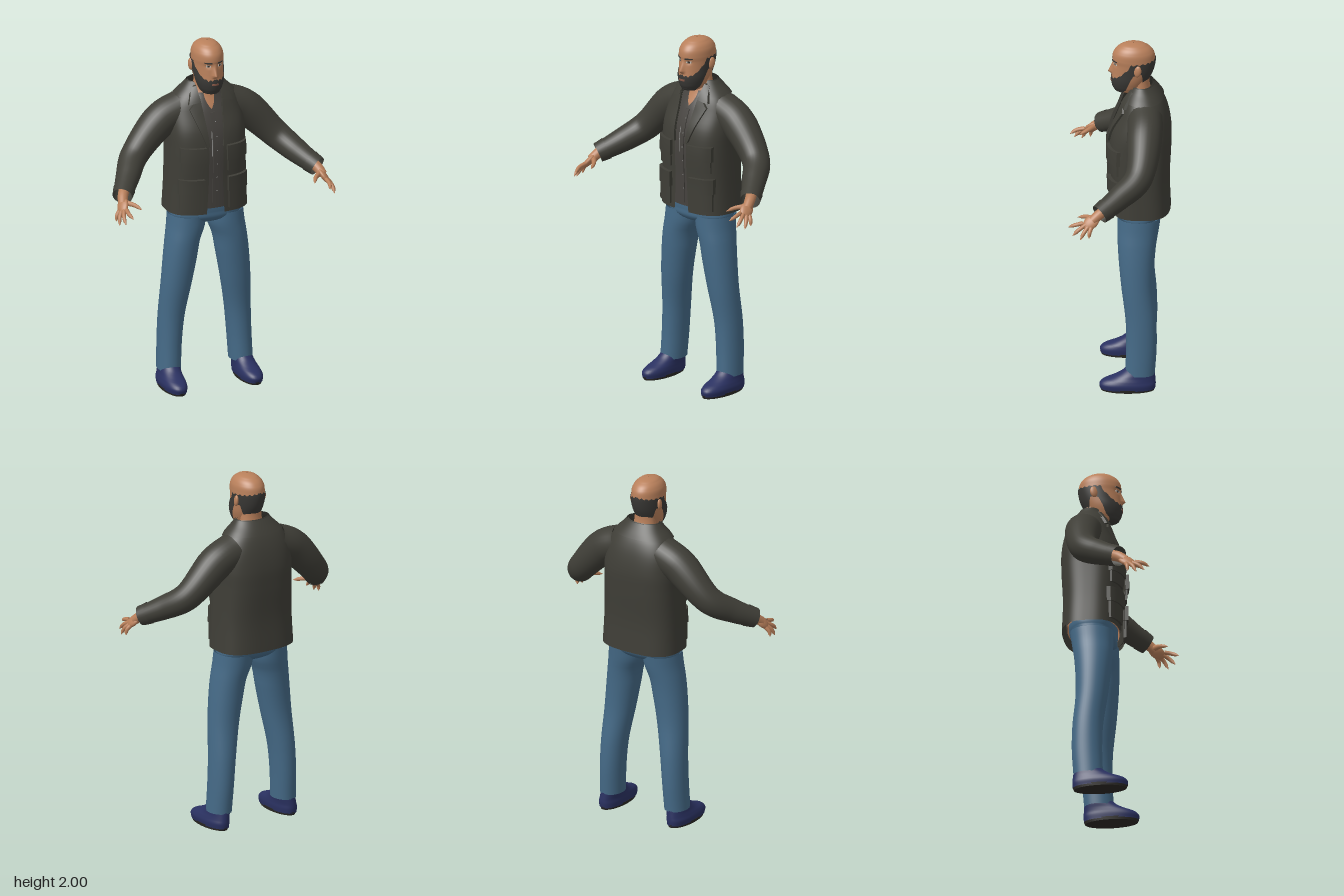
import * as THREE from 'three';
import { ParametricGeometry } from 'three/addons/geometries/ParametricGeometry.js';

const mat = (name, color) => new THREE.MeshStandardMaterial({ name, color, side: THREE.DoubleSide });
const V = (x, y, z) => new THREE.Vector3(x, y, z);
const curveOf = keys => {
  const it = new THREE.LinearInterpolant(keys.map(k => k[0]), keys.map(k => k[1]), 1);
  return a => it.evaluate(a)[0];
};

// A body surface from horizontal sections: [y, centreX, halfWidth, zFront, zBack, squareness]
function body(rows, side = 1, bump = () => 0) {
  const it = new THREE.CubicInterpolant(rows.map(r => r[0]), rows.flatMap(r => r.slice(1)), 5);
  const at = y => {
    const [cx, rx, zf, zb, n] = it.evaluate(y);
    return { cx: cx * side, rx: Math.max(rx, 0.001), mid: (zf + zb) / 2, rz: (zf - zb) / 2, n };
  };
  const pow = (c, e) => Math.sign(c) * Math.abs(c) ** e;
  return {
    at, lo: rows[0][0], hi: rows[rows.length - 1][0],
    // angle 0 is the front, growing towards +x
    point(a, y, off, p) {
      const r = at(y), c = Math.cos(a);
      const x = r.cx + (r.rx + off) * pow(Math.sin(a), 2 / r.n);
      const z = r.mid + (r.rz + off) * pow(c, 2 / r.n);
      return p.set(x, y, z + (c > 0 ? bump(x, y) : 0));
    },
    frontZ(x, y) {
      const r = at(y), k = Math.min(1, Math.abs(x - r.cx) / r.rx);
      return r.mid + r.rz * (1 - k ** r.n) ** (1 / r.n) + bump(x, y);
    },
  };
}

// Sheet wrapped round a body, with optional front gap and edge heights by angle from the front
function sheet(b, { gap = () => 0, lo = () => b.lo, hi = () => b.hi, off = 0, nu = 64, nv = 32 } = {}) {
  return new ParametricGeometry((u, v, p) => {
    const a = Math.PI * 2 * Math.min(u, 1 - u);
    const k = 0.2 * v + 0.8 * (0.5 - 0.5 * Math.cos(Math.PI * v));
    const y = lo(a) + (hi(a) - lo(a)) * k, g = gap(y);
    b.point(g + (Math.PI * 2 - 2 * g) * u, y, off, p);
  }, nu, nv);
}

// Plate laid on the front of a body; corners run bottom inner, bottom outer, top outer, top inner
function plate(b, corners, thick, side = 1) {
  const order = side > 0 ? [0, 1, 2, 3] : [1, 0, 3, 2];
  const [p, q, r, s] = order.map(i => [corners[i][0] * side, corners[i][1]]);
  const geo = new THREE.BoxGeometry(1, 1, 1, 10, 8, 1), pos = geo.attributes.position;
  const mix = THREE.MathUtils.lerp;
  for (let i = 0; i < pos.count; i++) {
    const u = pos.getX(i) + 0.5, v = pos.getY(i) + 0.5;
    const x = mix(mix(p[0], q[0], u), mix(s[0], r[0], u), v);
    const y = mix(mix(p[1], q[1], u), mix(s[1], r[1], u), v);
    pos.setXYZ(i, x, y, b.frontZ(x, y) + (pos.getZ(i) > 0 ? thick : -0.004));
  }
  geo.computeVertexNormals();
  return geo;
}
const rect = (x0, x1, y0, y1) => [[x0, y0], [x1, y0], [x1, y1], [x0, y1]];

// Tube with a radius that changes along its path
function limb(points, radii, seg = 24, sides = 20) {
  const curve = new THREE.CatmullRomCurve3(points);
  const radius = curveOf(radii.map((r, i) => [i / (radii.length - 1), r]));
  const geo = new THREE.TubeGeometry(curve, seg, 1, sides), pos = geo.attributes.position, v = V();
  for (let i = 0; i < pos.count; i++) {
    const t = Math.floor(i / (sides + 1)) / seg, c = curve.getPointAt(t);
    v.fromBufferAttribute(pos, i).sub(c).multiplyScalar(radius(t)).add(c);
    pos.setXYZ(i, v.x, v.y, v.z);
  }
  return geo;
}

export function createModel() {
  const model = new THREE.Group();
  const skin = mat('skin', 0xb9805b), cloth = mat('jacket cloth', 0x3f3e37), denim = mat('denim', 0x456a87);
  const hair = mat('hair', 0x3a3936), shirtCloth = mat('shirt cloth', 0x46433f), shoe = mat('shoe', 0x2a3161);
  const sole = mat('sole', 0x2b2925), lip = mat('lips', 0x8a5a49), white = mat('eye white', 0xc9c4bb);
  const metal = mat('metal', 0x8c8c8a);
  const add = (name, geo, m) => {
    const mesh = new THREE.Mesh(geo, m);
    mesh.name = name;
    model.add(mesh);
    return mesh;
  };

  // Head with nose and eye sockets
  const face = (x, y) => {
    const nose = y > 1.826 ? Math.max(0, (1.892 - y) / 0.066) : Math.max(0, 1 - (1.826 - y) / 0.014);
    const socket = Math.exp(-(((Math.abs(x) - 0.033) / 0.015) ** 2) - ((y - 1.88) / 0.012) ** 2);
    return 0.024 * nose * Math.exp(-((x / 0.013) ** 2)) - 0.006 * socket;
  };
  const head = body([
    [1.70, 0, 0.004, -0.04, -0.06, 2], [1.71, 0, 0.038, 0.012, -0.1, 2], [1.73, 0, 0.056, 0.034, -0.12, 2],
    [1.76, 0, 0.069, 0.045, -0.138, 2], [1.79, 0, 0.077, 0.048, -0.155, 2], [1.83, 0, 0.081, 0.044, -0.175, 2],
    [1.88, 0, 0.084, 0.04, -0.188, 2], [1.91, 0, 0.085, 0.044, -0.19, 2], [1.95, 0, 0.079, 0.034, -0.181, 2],
    [1.98, 0, 0.058, 0.004, -0.15, 2], [1.995, 0, 0.031, -0.032, -0.112, 2], [2.0, 0, 0.003, -0.068, -0.076, 2],
  ], 1, face);
  add('head', sheet(head, { nu: 128, nv: 72 }), skin);

  // Beard, sideburns and the fringe of hair round the back
  const hairTop = curveOf([[0, 1.806], [0.5, 1.8], [0.9, 1.818], [1.25, 1.86], [1.45, 1.898], [2.2, 1.902], [Math.PI, 1.914]]);
  const hairLow = curveOf([[0, 1.702], [1, 1.703], [1.45, 1.74], [1.6, 1.83], [2, 1.84], [2.3, 1.785], [Math.PI, 1.775]]);
  add('beardAndHair', sheet(head, {
    lo: hairLow, hi: a => hairTop(a) + 0.004 * Math.sin(a * 23), off: 0.004, nu: 128, nv: 20,
  }), hair);
  add('mouth', plate(head, rect(-0.02, 0.02, 1.772, 1.783), 0.006), lip);

  // Neck and chest, with the shirt over them
  const chest = body([
    [1.05, 0, 0.205, 0.03, -0.25, 2.2], [1.2, 0, 0.2, 0.035, -0.25, 2.2], [1.4, 0, 0.2, 0.042, -0.255, 2.2],
    [1.5, 0, 0.195, 0.03, -0.25, 2.2], [1.6, 0, 0.16, -0.005, -0.23, 2.2], [1.66, 0, 0.11, -0.035, -0.2, 2.1],
    [1.7, 0, 0.076, -0.052, -0.175, 2], [1.76, 0, 0.061, -0.06, -0.16, 2], [1.83, 0, 0.058, -0.06, -0.16, 2],
  ]);
  add('neckAndChest', sheet(chest), skin);
  add('shirt', sheet(chest, { hi: a => Math.min(1.7, 1.615 + 0.22 * a), off: 0.006, nu: 96 }), shirtCloth);
  add('shirtPlacket', plate(chest, rect(-0.014, 0.014, 1.07, 1.6), 0.011), shirtCloth);
  add('zip', plate(chest, rect(-0.02, -0.016, 1.36, 1.5), 0.009), metal);
  for (let i = 0; i < 6; i++)
    add('button', plate(chest, rect(0.006, 0.011, 1.15 + i * 0.08, 1.155 + i * 0.08), 0.0135), metal);

  // Open jacket and collar
  const jacket = body([
    [1.025, 0, 0.232, 0.052, -0.276, 2.8], [1.2, 0, 0.224, 0.054, -0.27, 2.8], [1.4, 0, 0.219, 0.06, -0.279, 2.8],
    [1.5, 0, 0.219, 0.046, -0.279, 2.7], [1.6, 0, 0.207, 0.008, -0.262, 2.5], [1.66, 0, 0.183, -0.012, -0.241, 2.3],
    [1.7, 0, 0.148, -0.03, -0.219, 2.2], [1.735, 0, 0.112, -0.05, -0.195, 2.1], [1.76, 0, 0.092, -0.062, -0.176, 2],
  ]);
  const opening = curveOf([[1.02, 0.052], [1.2, 0.042], [1.45, 0.042], [1.7, 0.065], [1.76, 0.072]]);
  const gap = y => {
    const r = jacket.at(y);
    return Math.asin(Math.min(0.95, opening(y) / r.rx) ** (r.n / 2));
  };
  add('jacketBody', sheet(jacket, { gap, nu: 80, nv: 40 }), cloth);
  add('collar', sheet(jacket, { gap: () => 0.8, lo: () => 1.685, hi: () => 1.762, off: 0.011, nv: 10 }), cloth);

  // Jeans: seat
  const hips = body([
    [0.94, 0, 0.02, -0.06, -0.13, 2], [0.955, 0, 0.1, -0.015, -0.18, 2.1], [0.98, 0, 0.19, 0.012, -0.215, 2.3],
    [1.02, 0, 0.208, 0.018, -0.235, 2.4], [1.1, 0, 0.2, 0.022, -0.24, 2.4],
  ]);
  add('jeansSeat', sheet(hips), denim);

  for (const s of [1, -1]) {
    const P = (x, y, z) => V(x * s, y, z);
    const pre = s > 0 ? 'left' : 'right';

    // Face details
    add(pre + 'Eye', plate(head, rect(0.021, 0.045, 1.876, 1.886), 0.003, s), white);
    add(pre + 'Iris', plate(head, rect(0.028, 0.038, 1.876, 1.886), 0.0045, s), hair);
    add(pre + 'Brow', plate(head, [[0.016, 1.896], [0.053, 1.898], [0.053, 1.904], [0.016, 1.904]], 0.004, s), hair);
    const ear = add(pre + 'Ear', new THREE.SphereGeometry(1, 20, 14), skin);
    ear.scale.set(0.012, 0.033, 0.021);
    ear.position.copy(P(0.087, 1.862, -0.095));
    ear.rotation.set(-0.15, s * -0.3, 0);

    // Lapels, pockets and flaps
    add(pre + 'Lapel', plate(jacket, [[0.04, 1.42], [0.058, 1.43], [0.128, 1.625], [0.066, 1.695]], 0.012, s), cloth);
    add(pre + 'CollarPoint', plate(jacket, [[0.068, 1.665], [0.13, 1.65], [0.098, 1.735], [0.07, 1.745]], 0.016, s), cloth);
    add(pre + 'ChestPocket', plate(jacket, rect(0.068, 0.188, 1.27, 1.4), 0.011, s), cloth);
    add(pre + 'ChestFlap', plate(jacket, rect(0.062, 0.194, 1.335, 1.42), 0.02, s), cloth);
    add(pre + 'HipPocket', plate(jacket, rect(0.076, 0.196, 1.05, 1.22), 0.013, s), cloth);
    add(pre + 'HipFlap', plate(jacket, rect(0.07, 0.202, 1.15, 1.235), 0.022, s), cloth);

    // Sleeve and cuff
    add(pre + 'Sleeve', limb([
      P(0.13, 1.6, -0.135), P(0.24, 1.552, -0.135), P(0.42, 1.372, -0.1), P(0.5, 1.297, 0), P(0.575, 1.235, 0.105),
    ], [0.098, 0.096, 0.08, 0.069, 0.053], 40, 28), cloth);
    add(pre + 'Cuff', limb([P(0.55, 1.255, 0.07), P(0.578, 1.233, 0.11)], [0.061, 0.055], 4, 28), cloth);

    // Hand: wrist, palm, four fingers and thumb
    add(pre + 'Wrist', limb([P(0.55, 1.255, 0.07), P(0.575, 1.232, 0.11), P(0.592, 1.2, 0.15)], [0.03, 0.029, 0.026], 8), skin);
    const spread = P(-0.437, 0.328, 0.838).normalize();
    const ahead = P(0.055, -0.12, 0.145).normalize();
    const flat = spread.clone().cross(ahead).normalize();
    const across = ahead.clone().cross(flat);
    const palm = add(pre + 'Palm', new THREE.SphereGeometry(1, 20, 14), skin);
    palm.scale.set(0.037, 0.052, 0.018);
    palm.quaternion.setFromRotationMatrix(new THREE.Matrix4().makeBasis(across, ahead, flat));
    palm.position.copy(P(0.595, 1.194, 0.156));
    [P(0.582, 1.158, 0.28), P(0.618, 1.122, 0.258), P(0.638, 1.106, 0.215), P(0.638, 1.115, 0.168)].forEach((tip, i) => {
      const root = P(0.604, 1.178, 0.178).addScaledVector(spread, 0.027 - 0.018 * i);
      const mid = root.clone().lerp(tip, 0.5).add(P(0.007, 0.004, 0.003));
      add(pre + 'Finger', limb([root, mid, tip], [0.012, 0.0115, 0.011, 0.0095, 0.001], 12, 10), skin);
    });
    add(pre + 'Thumb', limb([P(0.578, 1.208, 0.145), P(0.537, 1.2, 0.185), P(0.512, 1.185, 0.23)],
      [0.018, 0.014, 0.012, 0.01, 0.001], 12, 10), skin);

    // Trouser leg
    const leg = body([
      [0.095, 0.213, 0.064, -0.027, -0.19, 2.1], [0.25, 0.206, 0.066, -0.033, -0.2, 2.1], [0.4, 0.196, 0.071, -0.03, -0.198, 2.1],
      [0.6, 0.173, 0.084, -0.006, -0.183, 2.1], [0.75, 0.153, 0.092, 0.008, -0.188, 2.1], [0.85, 0.138, 0.095, 0.014, -0.198, 2.1],
      [0.93, 0.117, 0.104, 0.016, -0.212, 2.1], [1.0, 0.11, 0.104, 0.015, -0.222, 2.1],
    ], s);
    add(pre + 'TrouserLeg', sheet(leg, { nu: 40 }), denim);

    // Shoe and sole
    const upper = body([
      [0.012, 0.224, 0.061, 0.109, -0.192, 2.3], [0.04, 0.224, 0.064, 0.112, -0.195, 2.3], [0.06, 0.222, 0.061, 0.092, -0.194, 2.2],
      [0.08, 0.219, 0.057, 0.04, -0.192, 2.2], [0.1, 0.216, 0.056, 0, -0.19, 2.1], [0.125, 0.213, 0.054, -0.03, -0.185, 2],
    ], s);
    add(pre + 'Shoe', sheet(upper, { nu: 48, nv: 20 }), shoe);
    const base = add(pre + 'Sole', new THREE.CylinderGeometry(1, 0.95, 0.018, 40), sole);
    base.scale.set(0.063, 1, 0.153);
    base.position.copy(P(0.224, 0.009, -0.041));
  }
  return model;
}
